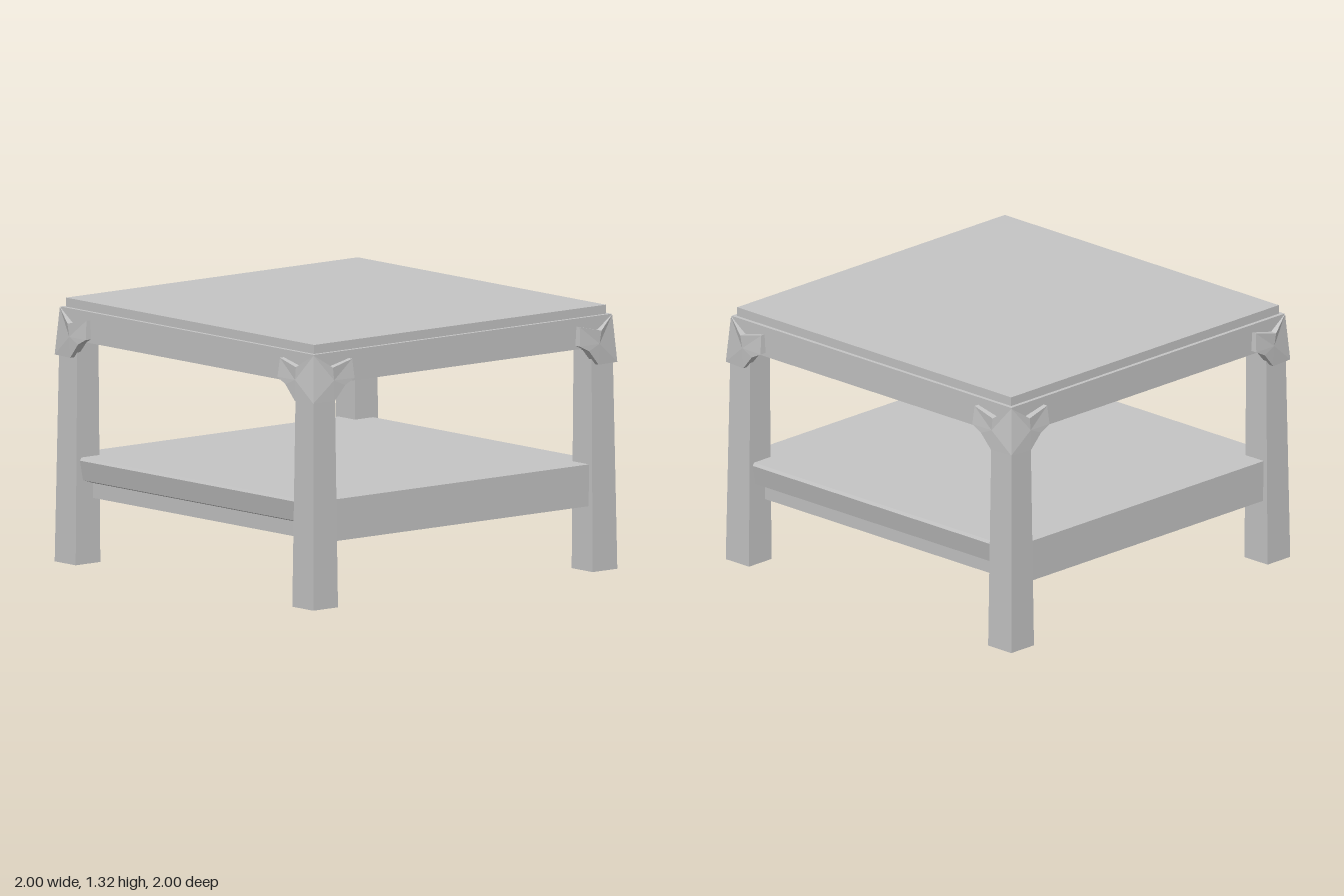
import * as THREE from 'three';

const grey = new THREE.MeshStandardMaterial({ color: 0xc4c4c4 });
grey.name = 'grey';

function part(name, geometry, parent) {
  const mesh = new THREE.Mesh(geometry, grey);
  mesh.name = name;
  parent.add(mesh);
  return mesh;
}

// Rectangular ring lying flat, from y0 to y1
function frame(outX, outZ, inX, inZ, y0, y1) {
  const rect = (Type, w, d) => new Type([[-w, -d], [w, -d], [w, d], [-w, d]].map(p => new THREE.Vector2(...p)));
  const shape = rect(THREE.Shape, outX, outZ);
  shape.holes.push(rect(THREE.Path, inX, inZ));
  return new THREE.ExtrudeGeometry(shape, { depth: y1 - y0, bevelEnabled: false })
    .rotateX(-Math.PI / 2).translate(0, y0, 0);
}

// Square leg in the +x +z corner, leaning in slightly towards the top
function legGeometry() {
  const h = 1.15;
  const geo = new THREE.BoxGeometry(1, h, 1).translate(0, h / 2, 0);
  const pos = geo.attributes.position;
  for (let i = 0; i < pos.count; i++) {
    const top = pos.getY(i) > h / 2;
    const place = v => (v > 0 ? (top ? 0.968 : 0.985) : (top ? 0.832 : 0.825));
    pos.setXYZ(i, place(pos.getX(i)), pos.getY(i), place(pos.getZ(i)));
  }
  geo.computeVertexNormals();
  return geo;
}

// Faceted corner guard: one wing outline, mirrored across the corner's diagonal
function bracketGeometry() {
  const outline = [ // along the side, height, outwards
    [0.985, 1.035, 0.985], [0.855, 1.035, 0.995], [0.79, 1.11, 1.0], [0.73, 1.14, 1.0],
    [0.737, 1.235, 0.99], [0.87, 1.205, 1.0], [0.967, 1.272, 0.967]
  ];
  const centre = [0.86, 1.14, 0.997];
  const inner = ([x, y, z]) => [Math.min(x, 0.95), y, 0.95];
  const out = [];
  const tri = (a, b, c) => {
    out.push(...a, ...b, ...c);
    for (const [x, y, z] of [c, b, a]) out.push(z, y, x);
  };
  outline.forEach((p, i) => {
    const q = outline[(i + 1) % outline.length];
    tri(centre, q, p);
    if (i === outline.length - 1) return;
    tri(q, inner(q), inner(p));
    tri(q, inner(p), p);
  });
  const geo = new THREE.BufferGeometry();
  geo.setAttribute('position', new THREE.Float32BufferAttribute(out, 3));
  geo.computeVertexNormals();
  return geo;
}

// Shelf board with sides that slope in underneath
function shelfGeometry() {
  const half = [[0.87, 0.4], [0.935, 0.42], [0.955, 0.52], [0.945, 0.535]];
  const points = [...half, ...half.map(([x, y]) => [-x, y]).reverse()];
  const shape = new THREE.Shape(points.map(p => new THREE.Vector2(...p)));
  return new THREE.ExtrudeGeometry(shape, { depth: 1.91, bevelEnabled: false }).translate(0, 0, -0.955);
}

export function createModel() {
  const model = new THREE.Group();
  model.name = 'coffeeTable';

  // Top and its apron
  part('tableTop', new THREE.BoxGeometry(1.89, 0.12, 1.89).translate(0, 1.26, 0), model);
  part('apron', frame(0.965, 0.965, 0.88, 0.88, 1.12, 1.275), model);

  // Lower shelf and the frame beneath it
  part('shelf', shelfGeometry(), model);
  part('shelfFrame', frame(0.87, 0.95, 0.8, 0.84, 0.325, 0.41), model);

  // Legs with corner guards
  const leg = legGeometry();
  const bracket = bracketGeometry();
  for (let i = 0; i < 4; i++) {
    const corner = new THREE.Group();
    corner.name = 'corner' + (i + 1);
    corner.rotation.y = i * Math.PI / 2;
    part('leg', leg, corner);
    part('cornerBracket', bracket, corner);
    model.add(corner);
  }
  return model;
}
